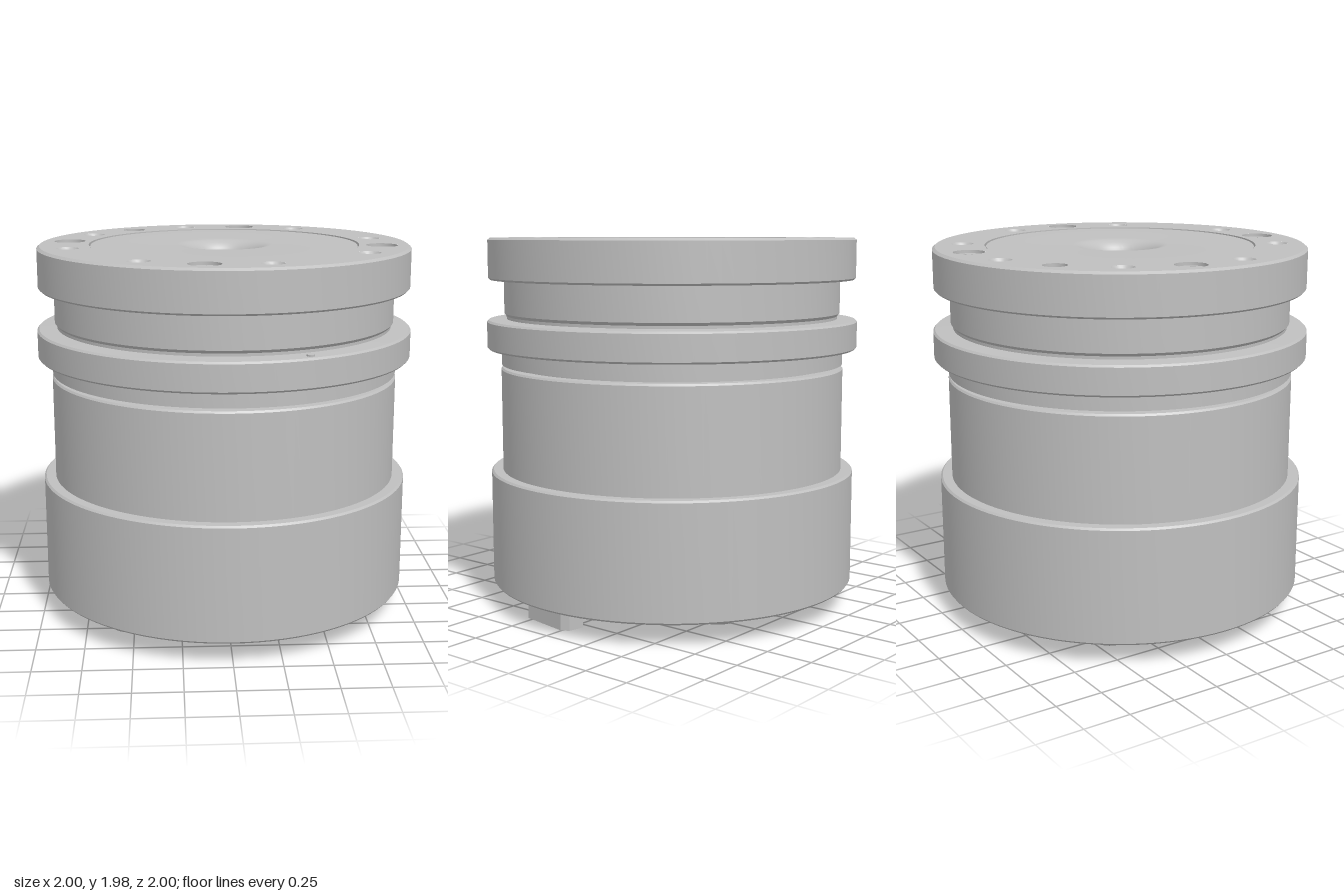
import * as THREE from 'three';
import { toCreasedNormals } from 'three/addons/utils/BufferGeometryUtils.js';

const grey = new THREE.MeshStandardMaterial({ color: 0xbfbfbf });
grey.name = 'machined grey';

const TILT = -0.63; // turn of the circuit board fittings about y
const v2 = (p) => new THREE.Vector2(p[0], p[1]);

export function createModel() {
  const model = new THREE.Group();
  model.name = 'cylindricalActuator';

  function add(name, geo, x = 0, y = 0, z = 0, turn = 0, parent = model) {
    const mesh = new THREE.Mesh(geo, grey);
    mesh.name = name;
    mesh.position.set(x, y, z);
    mesh.rotation.y = turn;
    parent.add(mesh);
    return mesh;
  }
  const lathe = (pts, seg = 96) => toCreasedNormals(new THREE.LatheGeometry(pts.map(v2), seg), 0.5);
  const circle = (r, x = 0, y = 0, Type = THREE.Path) => new Type().absarc(x, y, r, 0, Math.PI * 2);
  const poly = (pts, Type = THREE.Path) => new Type(pts.map(v2));
  const rect = (w, h) => [[-w / 2, -h / 2], [w / 2, -h / 2], [w / 2, h / 2], [-w / 2, h / 2]];

  // Stepped outer housing, from the lower rim up to the upper rim
  add('housing', lathe([
    [0.982, 0.12], [0.99, 0.13], [0.99, 0.725], [0.98, 0.735], [0.928, 0.735],
    [0.928, 1.28], [0.92, 1.29], [0.855, 1.29], [0.855, 1.305], [0.925, 1.305],
    [0.925, 1.39], [0.99, 1.39], [1, 1.4], [1, 1.535], [0.99, 1.545],
    [0.895, 1.55], [0.895, 1.565], [0.907, 1.58], [0.907, 1.758], [0.98, 1.758],
    [0.99, 1.768], [0.99, 1.968], [0.975, 1.98],
  ]));
  add('indexPin', new THREE.CylinderGeometry(0.02, 0.02, 0.02, 16), 0.37, 1.545, 0.88);

  // Centre disc with a shallow seam and a rounded through bore
  const disc = [[0.716, 1.98], [0.716, 1.962], [0.708, 1.962], [0.708, 1.975]];
  for (let i = 0; i <= 8; i++) {
    const a = (i / 8) * Math.PI / 2;
    disc.push([0.255 - 0.09 * Math.sin(a), 1.885 + 0.09 * Math.cos(a)]);
  }
  disc.push([0.165, 0.11]);
  add('centreDisc', lathe(disc));

  // Output flange face, pierced by screw and threaded holes
  const screws = [[0.13, -0.825], [-0.825, -0.13], [-0.13, 0.825], [0.825, 0.13]];
  const threads = [[-0.195, -0.815], [0.44, -0.71], [0.81, -0.195], [0.71, 0.44],
    [0.195, 0.815], [-0.44, 0.71], [-0.815, 0.195], [-0.71, -0.44]];
  const dowel = [-0.49, -0.68];
  const face = circle(0.975, 0, 0, THREE.Shape);
  face.holes.push(circle(0.716));
  screws.forEach(([x, z]) => face.holes.push(circle(0.083, x, -z)));
  threads.forEach(([x, z]) => face.holes.push(circle(0.058, x, -z)));
  face.holes.push(circle(0.062, dowel[0], -dowel[1]));
  add('flangeFace', new THREE.ShapeGeometry(face, 48).rotateX(-Math.PI / 2), 0, 1.98);

  const threadGeo = lathe([[0.058, 0], [0.04, -0.025], [0.04, -0.1], [0, -0.125]], 24);
  threads.forEach(([x, z]) => add('threadedHole', threadGeo, x, 1.98, z));
  add('dowelHole', lathe([[0.062, 0], [0.062, -0.1], [0, -0.1]], 24), dowel[0], 1.98, dowel[1]);

  // Cross-head screws in counterbores
  const a = 0.013, b = 0.042;
  const cross = poly([[a, a], [b, a], [b, -a], [a, -a], [a, -b], [-a, -b],
    [-a, -a], [-b, -a], [-b, a], [-a, a], [-a, b], [a, b]]);
  const headShape = circle(0.072, 0, 0, THREE.Shape);
  headShape.holes.push(cross);
  const headGeo = new THREE.ExtrudeGeometry(headShape, { depth: 0.03, bevelEnabled: false, curveSegments: 16 })
    .rotateX(-Math.PI / 2);
  const boreGeo = lathe([[0.083, 0], [0.083, -0.045], [0, -0.045]], 32);
  screws.forEach(([x, z], i) => {
    add('screwCounterbore', boreGeo, x, 1.98, z);
    add('screwHead', headGeo, x, 1.935, z, 0.3 + i * 0.4);
  });

  // Underside: each socket is [name, x, z, width, depth, lower y]
  const sockets = [
    ['signalSocket', 0.53, -0.31, 0.29, 0.2, 0.108],
    ['debugSocket', 0.3, -0.51, 0.2, 0.25, 0.108],
    ['serialSocket', 0.1, 0.67, 0.42, 0.17, 0.105],
  ];
  const bolts = [0, 1, 2, 3].map((i) => {
    const t = -0.94 + i * Math.PI / 2;
    return [0.875 * Math.cos(t), 0.875 * Math.sin(t)];
  });
  const base = circle(0.982, 0, 0, THREE.Shape);
  base.holes.push(circle(0.165));
  bolts.forEach(([x, z]) => base.holes.push(circle(0.06, x, z)));
  const c = Math.cos(TILT), s = Math.sin(TILT);
  sockets.forEach(([, x, z, w, d]) => base.holes.push(
    poly(rect(w, d).map(([p, q]) => [x + p * c + q * s, z - p * s + q * c]))));
  add('basePlate', new THREE.ShapeGeometry(base, 48).rotateX(Math.PI / 2), 0, 0.12);

  // Raised collar round the bore and the mounting bolt sleeves
  add('boreCollar', lathe([[0.165, 0.2], [0.165, 0.105], [0.215, 0.105], [0.225, 0.12]], 48));
  const sleeve = lathe([[0, 0.09], [0.055, 0.09], [0.055, -0.012], [0.09, -0.012], [0.1, 0]], 32);
  bolts.forEach(([x, z]) => add('boltSleeve', sleeve, x, 0.12, z));

  // Hollow sockets with a row of contacts
  sockets.forEach(([name, x, z, w, d, low]) => {
    const g = new THREE.Group();
    g.name = name;
    g.position.set(x, 0, z);
    g.rotation.y = TILT;
    model.add(g);
    const frame = poly(rect(w, d), THREE.Shape);
    frame.holes.push(poly(rect(w - 0.05, d - 0.05)));
    add('socketWall', new THREE.ExtrudeGeometry(frame, { depth: 0.2 - low, bevelEnabled: false })
      .rotateX(Math.PI / 2), 0, 0.2, 0, 0, g);
    add('socketFloor', new THREE.BoxGeometry(w, 0.02, d), 0, 0.2, 0, 0, g);
    add('contactBar', new THREE.BoxGeometry(w * 0.65, 0.06, d * 0.25), 0, 0.17, 0, 0, g);
    const n = Math.round(w / 0.07);
    for (let i = 0; i < n; i++) {
      add('contact', new THREE.BoxGeometry(0.016, 0.07, 0.03), ((i + 0.5) / n - 0.5) * w * 0.65, 0.155, 0, 0, g);
    }
  });

  // Flat chip
  add('chip', new THREE.BoxGeometry(0.26, 0.02, 0.25), -0.28, 0.118, -0.7, TILT);

  // Pair of latching plugs, side by side
  const plugs = new THREE.Group();
  plugs.name = 'plugPair';
  plugs.position.set(-0.6, 0, 0.34);
  plugs.rotation.y = TILT;
  model.add(plugs);
  for (const side of [-1, 1]) {
    const x = side * 0.105;
    add('plugBody', new THREE.BoxGeometry(0.19, 0.06, 0.2), x, 0.11, -0.02, 0, plugs);
    add('plugLip', new THREE.BoxGeometry(0.2, 0.03, 0.08), x, 0.115, -0.12, 0, plugs);
    add('plugLatch', new THREE.BoxGeometry(0.07, 0.075, 0.06), x, 0.0875, 0.09, 0, plugs);
  }

  // Power connector with two chamfered corners
  const power = poly([[-0.058, -0.178], [0.03, -0.178], [0.058, -0.14], [0.058, 0.14],
    [0.03, 0.178], [-0.058, 0.178]], THREE.Shape);
  add('powerConnector', new THREE.ExtrudeGeometry(power, { depth: 0.14, bevelEnabled: false })
    .rotateX(Math.PI / 2), 0.815, 0.14, 0.135, -0.16);

  return model;
}
